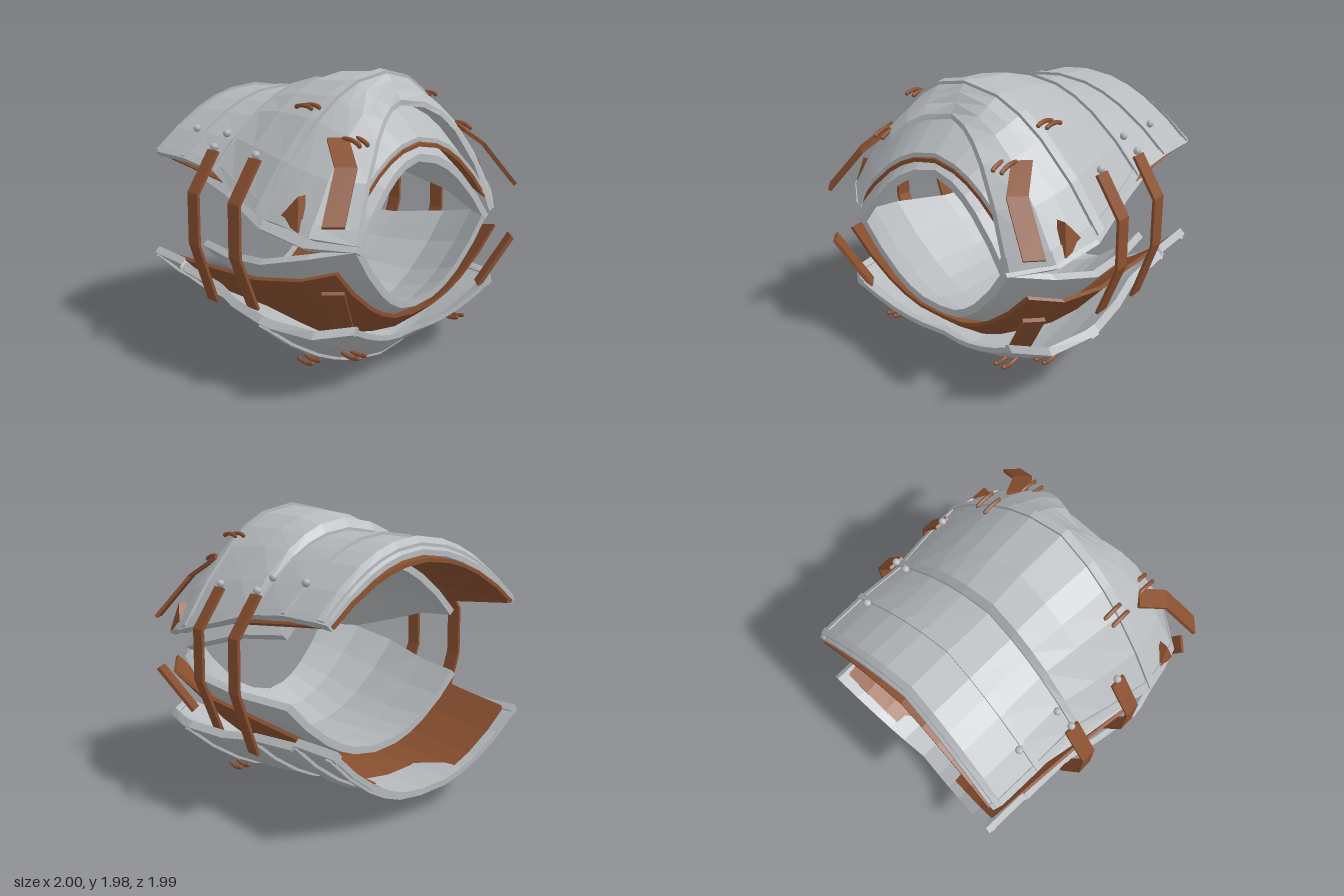
import * as THREE from 'three';

const steel = new THREE.MeshStandardMaterial({ color: 0xb6babd });
steel.name = 'steel';
const leather = new THREE.MeshStandardMaterial({ color: 0x8a5030 });
leather.name = 'leather';

// Joins closed rings of points into a capped, faceted solid
function loft(rings) {
  const tris = [];
  const m = rings[0].length;
  const quad = (a, b, c, d) => tris.push([a, b, c], [a, c, d]);
  for (let i = 0; i < rings.length - 1; i++) {
    for (let j = 0; j < m; j++) {
      const k = (j + 1) % m;
      quad(rings[i][j], rings[i][k], rings[i + 1][k], rings[i + 1][j]);
    }
  }
  const first = rings[0], last = rings[rings.length - 1];
  for (let j = 0; j < Math.floor(m / 2); j++) {
    const k = m - 1 - j;
    if (k - 1 < j + 1 && m % 2 === 0) break;
    quad(first[k], first[k - 1], first[j + 1], first[j]);
    quad(last[j], last[j + 1], last[k - 1], last[k]);
  }
  // turn the faces outward
  let volume = 0;
  for (const [a, b, c] of tris) volume += a.dot(new THREE.Vector3().crossVectors(b, c));
  const pos = [];
  for (const [a, b, c] of tris) {
    for (const p of volume < 0 ? [a, c, b] : [a, b, c]) pos.push(p.x, p.y, p.z);
  }
  const g = new THREE.BufferGeometry();
  g.setAttribute('position', new THREE.Float32BufferAttribute(pos, 3));
  g.computeVertexNormals();
  return g;
}

// Station: [x at crown, x shift at edge, half width, edge height, crown height, fullness]
function stationAt(list, x) {
  let i = 0;
  while (i < list.length - 2 && x > list[i + 1][0]) i++;
  const a = list[i], b = list[i + 1];
  const f = (x - a[0]) / (b[0] - a[0]);
  return a.map((v, k) => v + (b[k] - v) * f);
}

function archPoint([x, dx, w, yEdge, yCrown, power = 2], t, offset) {
  const u = Math.abs(t), h = yCrown - yEdge, s = Math.sign(h);
  const slope = (-power * h * Math.pow(u, power - 1) * Math.sign(t)) / w;
  const len = Math.hypot(slope, 1);
  return new THREE.Vector3(
    x + dx * u,
    yEdge + h * (1 - Math.pow(u, power)) + (s * offset) / len,
    w * t - (s * slope * offset) / len
  );
}

const ARCH = [-1, -0.8, -0.58, -0.42, -0.25, 0, 0.25, 0.42, 0.58, 0.8, 1];

function plate(stations, outer, inner, ts = ARCH) {
  return loft(stations.map((s) => [
    ...ts.map((t) => archPoint(s, t, outer)),
    ...[...ts].reverse().map((t) => archPoint(s, t, inner)),
  ]));
}

// Flat band along a path, width direction given
function strap(points, widthDir, width, thick) {
  const pts = points.map((p) => new THREE.Vector3(...p));
  const w = new THREE.Vector3(...widthDir).normalize().multiplyScalar(width / 2);
  return loft(pts.map((p, i) => {
    const tangent = pts[Math.min(i + 1, pts.length - 1)].clone().sub(pts[Math.max(i - 1, 0)]);
    const n = tangent.cross(w).normalize().multiplyScalar(thick / 2);
    return [[1, 1], [-1, 1], [-1, -1], [1, -1]].map(([a, b]) =>
      p.clone().addScaledVector(w, a).addScaledVector(n, b));
  }));
}

const upperOuter = [
  [-0.87, -0.07, 0.8, 1.37, 1.74], [-0.81, -0.07, 0.82, 1.38, 1.8],
  [-0.49, -0.07, 0.83, 1.38, 1.81], [-0.15, -0.06, 0.83, 1.34, 1.82],
  [-0.13, -0.06, 0.84, 1.34, 1.88], [0.12, -0.06, 0.9, 1.27, 1.95],
  [0.48, -0.09, 0.96, 1.19, 1.97], [0.54, -0.09, 0.955, 1.17, 1.96],
  [0.58, 0.01, 0.93, 1.15, 1.92], [0.62, 0.14, 0.88, 1.1, 1.86, 2.15],
  [0.66, 0.27, 0.67, 1.05, 1.8, 2.5],
];
const lowerOuter = [
  [-0.92, -0.08, 0.81, 0.6, 0.17], [-0.58, -0.06, 0.82, 0.59, 0.16],
  [-0.57, -0.06, 0.83, 0.56, 0.14], [-0.17, -0.05, 0.84, 0.52, 0.11],
  [0.1, -0.05, 0.9, 0.48, 0.05], [0.46, -0.07, 0.96, 0.48, 0.025],
  [0.54, -0.06, 0.95, 0.47, 0.05], [0.68, 0.1, 0.88, 0.47, 0.18],
  [0.81, 0.12, 0.69, 0.49, 0.28],
];
const upperLining = [
  [-0.91, -0.04, 0.78, 1.36, 1.69], [-0.14, -0.04, 0.83, 1.28, 1.76],
  [0.2, -0.04, 0.88, 1.25, 1.84], [0.5, 0, 0.88, 1.17, 1.78],
  [0.82, 0.04, 0.68, 1.11, 1.545],
];
const lowerLining = [
  [-0.86, -0.06, 0.78, 0.6, 0.173], [-0.5, -0.05, 0.81, 0.63, 0.165],
  [-0.1, -0.03, 0.85, 0.67, 0.17], [0.3, 0, 0.92, 0.73, 0.14],
  [0.65, 0.04, 0.91, 0.81, 0.27], [0.8, 0.08, 0.79, 0.87, 0.4],
];
const upperInner = [
  [-0.42, -0.02, 0.76, 1.23, 1.66], [-0.08, 0, 0.84, 1.19, 1.71],
  [0.35, 0, 0.92, 1.07, 1.72], [0.62, 0.02, 0.83, 0.99, 1.61],
  [0.82, 0.09, 0.65, 0.98, 1.475],
];
const lowerInner = [
  [-0.45, -0.02, 0.76, 0.76, 0.32], [-0.08, 0, 0.84, 0.77, 0.28],
  [0.35, 0, 0.92, 0.84, 0.25], [0.62, 0.04, 0.83, 0.92, 0.34],
  [0.82, 0.08, 0.65, 0.98, 0.46],
];

export function createModel() {
  const model = new THREE.Group();
  const add = (name, geometry, material) => {
    const mesh = new THREE.Mesh(geometry, material);
    mesh.name = name;
    model.add(mesh);
    return mesh;
  };

  // Layered half shells
  for (const [side, outer, lining, inner] of [
    ['upper', upperOuter, upperLining, upperInner],
    ['lower', lowerOuter, lowerLining, lowerInner],
  ]) {
    add(side + 'OuterPlate', plate(outer, 0, -0.035), steel);
    add(side + 'Lining', plate(lining, 0, -0.025), leather);
    add(side + 'InnerPlate', plate(inner, 0, -0.05), steel);

    // Raised ridges across the outer plate
    const start = outer[0][0] + 0.04;
    const seams = side === 'upper' ? [-0.49, -0.14, 0.505] : [-0.58, -0.17, 0.49];
    for (const x of [start, ...seams]) {
      const half = x > 0 ? 0.03 : 0.02;
      add(side + 'Ridge', plate([x - half, x + half].map((v) => stationAt(outer, v)), 0.02, -0.02), steel);
    }
    // Thick rims along the two long edges
    for (const s of [-1, 1]) {
      add(side + 'Rim', plate(outer, 0.006, -0.05, [s * 0.965, s * 1.01]), steel);
    }
  }

  // Collar under the notched end of the upper plate
  add('upperCollar', plate([
    [0.58, 0, 0.87, 1.18, 1.77], [0.81, 0.05, 0.69, 1.13, 1.58],
  ], 0, -0.03), steel);

  for (const s of [-1, 1]) {
    // Side straps tying the halves together
    for (const [x, end] of [[-0.24, 0.44], [0.19, 0.5]]) {
      add('sideStrap', strap([
        [x, 1.46, s * 0.81], [x, 1.2, s * 0.98], [x, 0.86, s * 0.985], [x, end, s * 0.85],
      ], [1, 0, 0], 0.11, 0.02), leather);
    }
    // Loose end straps at the wide opening
    add('upperEndStrap', strap([
      [0.65, 1.61, s * 0.55], [0.83, 1.47, s * 0.66], [0.95, 1.18, s * 0.88],
    ], [0.7, 0, -0.7 * s], 0.13, 0.025), leather);
    add('lowerEndStrap', strap([
      [0.83, 0.46, s * 0.67], [0.95, 0.8, s * 0.88],
    ], [0.7, 0, -0.7 * s], 0.13, 0.025), leather);

    // Leather tab near the flared edge
    const tab = [[0.54, 1.17, 0.93], [0.65, 1.31, 0.87], [0.7, 1.11, 0.92]];
    add('leatherTab', loft([0, 0.06].map((d) =>
      tab.map(([x, y, z]) => new THREE.Vector3(x, y, s * (z - d))))), leather);

    // Rivets
    for (const [x, y, z] of [[-0.24, 1.485, 0.805], [0.19, 1.485, 0.805], [-0.59, 1.56, 0.69], [-0.25, 1.56, 0.69]]) {
      add('rivet', new THREE.SphereGeometry(0.027, 8, 5), steel).position.set(x, y, s * z);
    }

    // Lacing loops in pairs
    for (const [x, y, z, dir, drop] of [
      [0.4, 1.79, 0.56, 1, 0], [0.75, 1.61, 0.5, 1, 0.03],
      [0.4, 0.11, 0.56, -1, 0], [0.75, 0.24, 0.5, -1, 0],
    ]) {
      for (const d of [-0.033, 0.033]) {
        const curve = new THREE.QuadraticBezierCurve3(
          new THREE.Vector3(x - 0.07, y - 0.012 * dir + drop / 2, s * (z + d)),
          new THREE.Vector3(x, y + 0.015 * dir, s * (z + d)),
          new THREE.Vector3(x + 0.07, y - 0.012 * dir - drop / 2, s * (z + d)));
        add('lacingLoop', new THREE.TubeGeometry(curve, 5, 0.014, 6), leather);
        for (const e of [-0.064, 0.064]) {
          add('lacingEnd', new THREE.SphereGeometry(0.015, 6, 4), leather)
            .position.set(x + e, y - 0.012 * dir - Math.sign(e) * drop / 2, s * (z + d));
        }
      }
    }
  }
  return model;
}
